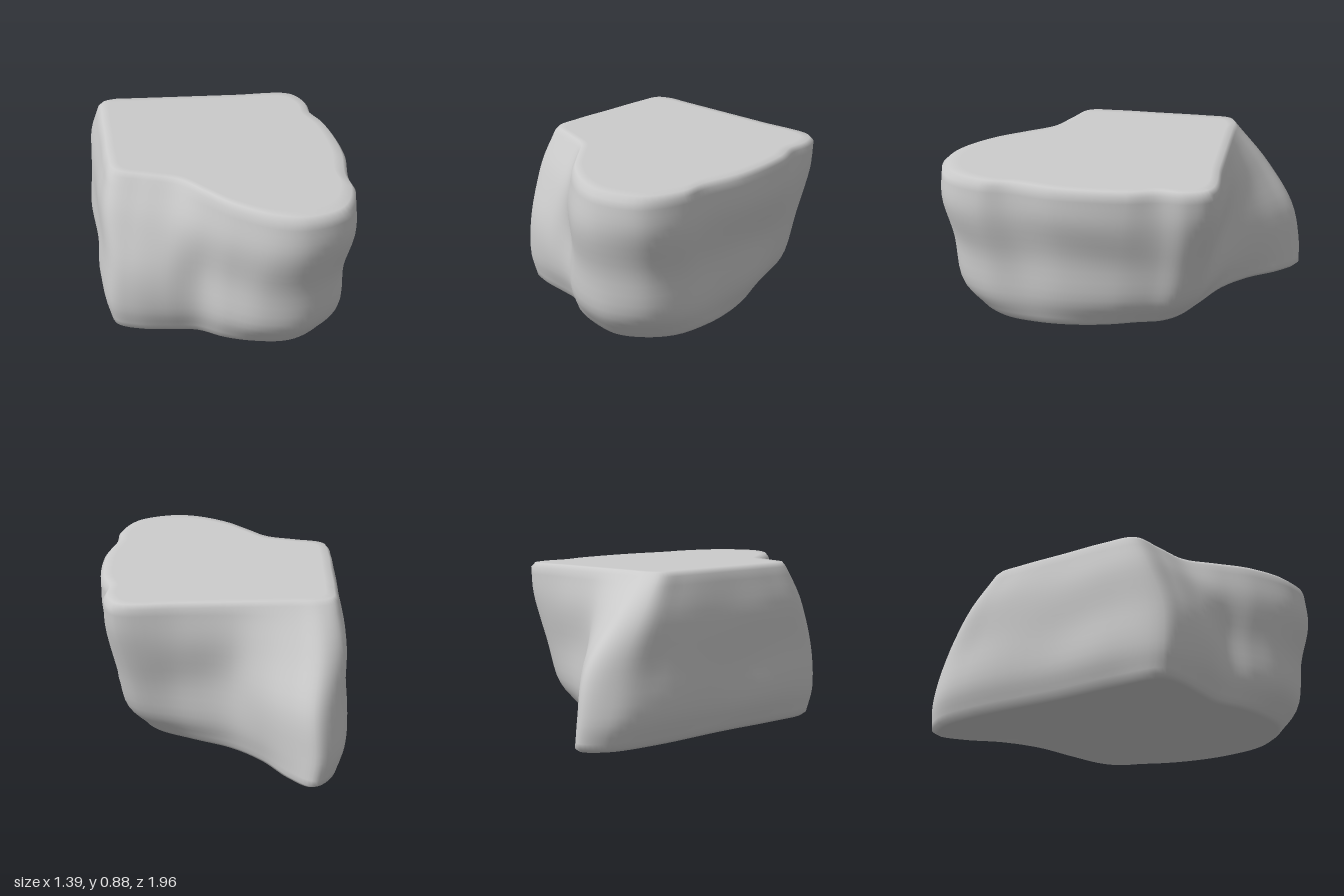
import * as THREE from 'three';

// Outline anchors around the boulder, as x,z at the base, the middle and the top
const ANCHORS = [
  [0.34, -0.37, 0.46, -0.52, 0.54, -0.565],
  [0.42, -0.28, 0.55, -0.41, 0.61, -0.44],
  [0.46, -0.16, 0.57, -0.27, 0.61, -0.29],
  [0.52, 0.00, 0.61, -0.07, 0.66, -0.13],
  [0.56, 0.18, 0.63, 0.22, 0.68, 0.24],
  [0.57, 0.38, 0.60, 0.45, 0.635, 0.51],
  [0.53, 0.60, 0.60, 0.66, 0.635, 0.67],
  [0.43, 0.73, 0.52, 0.83, 0.54, 0.88],
  [0.28, 0.81, 0.33, 0.92, 0.33, 0.965],
  [0.10, 0.79, 0.12, 0.90, 0.17, 0.93],
  [-0.06, 0.73, -0.05, 0.79, -0.02, 0.80],
  [-0.20, 0.64, -0.18, 0.68, -0.15, 0.65],
  [-0.35, 0.61, -0.36, 0.65, -0.28, 0.50],
  [-0.52, 0.58, -0.54, 0.60, -0.45, 0.43],
  [-0.63, 0.52, -0.64, 0.53, -0.61, 0.36],
  [-0.65, 0.25, -0.68, 0.25, -0.635, 0.18],
  [-0.64, -0.10, -0.68, -0.10, -0.635, -0.08],
  [-0.65, -0.60, -0.685, -0.55, -0.635, -0.38],
  [-0.61, -0.87, -0.65, -0.78, -0.62, -0.53],
  [-0.51, -0.98, -0.52, -0.91, -0.54, -0.57],
  [-0.39, -0.89, -0.38, -0.84, -0.42, -0.57],
  [-0.25, -0.71, -0.22, -0.72, -0.25, -0.57],
  [-0.08, -0.57, -0.06, -0.60, -0.08, -0.57],
  [0.14, -0.47, 0.20, -0.55, 0.20, -0.57],
];
const AROUND = 144;
const UP = 18;

const topY = (x) => 0.872 - 0.03 * x;

// Smooth closed outline through one level of the anchors
function outline(level) {
  const points = ANCHORS.map((a) => new THREE.Vector3(a[level * 2], 0, a[level * 2 + 1]));
  return new THREE.CatmullRomCurve3(points, true, 'centripetal');
}

// Point between two outlines, pushed outwards and set at a height
function between(a, b, t, push, y) {
  return a.clone().lerp(b, t).multiplyScalar(push).setY(y);
}

export function createModel() {
  const [base, middle, top] = [0, 1, 2].map(outline);
  const columns = [];
  for (let i = 0; i < AROUND; i++) {
    const [b, m, t] = [base, middle, top].map((c) => c.getPoint(i / AROUND));
    const wall = new THREE.CatmullRomCurve3([
      between(b, m, 0, 1, 0.025),
      between(b, m, 0.55, 1.035, 0.17),
      between(b, m, 1, 1, 0.42),
      between(m, t, 0.55, 1.035, 0.66),
      between(m, t, 1, 1, topY(t.x) - 0.025),
    ]).getPoints(UP);

    // Gentle weathering on the wall
    wall.forEach((p, j) => {
      const fade = Math.sin((Math.PI * j) / UP);
      const bump = Math.sin(9 * p.x + 5 * p.y) * Math.sin(8 * p.z - 7 * p.y + 1);
      const s = 1 + 0.008 * fade * bump;
      p.x *= s;
      p.z *= s;
    });

    // Flat underside and slightly tilted top, with softened rims
    const under = [0, 0.5, 0.97].map((s) => between(b, b, 0, s, 0.006));
    const cap = [0.97, 0.9, 0.5, 0].map((s) => between(t, t, 0, s, topY(t.x * s)));
    columns.push([...under, ...wall, ...cap]);
  }

  const rows = columns[0].length;
  const index = [];
  for (let i = 0; i < AROUND; i++) {
    const n = (i + 1) % AROUND;
    for (let j = 0; j < rows - 1; j++) {
      const a = i * rows + j;
      const b = n * rows + j;
      if (j < rows - 2) index.push(a, a + 1, b + 1);
      if (j > 0) index.push(a, b + 1, b);
    }
  }
  const geometry = new THREE.BufferGeometry().setFromPoints(columns.flat());
  geometry.setIndex(index);
  geometry.computeVertexNormals();

  const boulder = new THREE.Mesh(
    geometry,
    new THREE.MeshStandardMaterial({ color: 0xcccccc })
  );
  boulder.name = 'boulder';
  const group = new THREE.Group();
  group.name = 'rock';
  group.add(boulder);
  return group;
}
